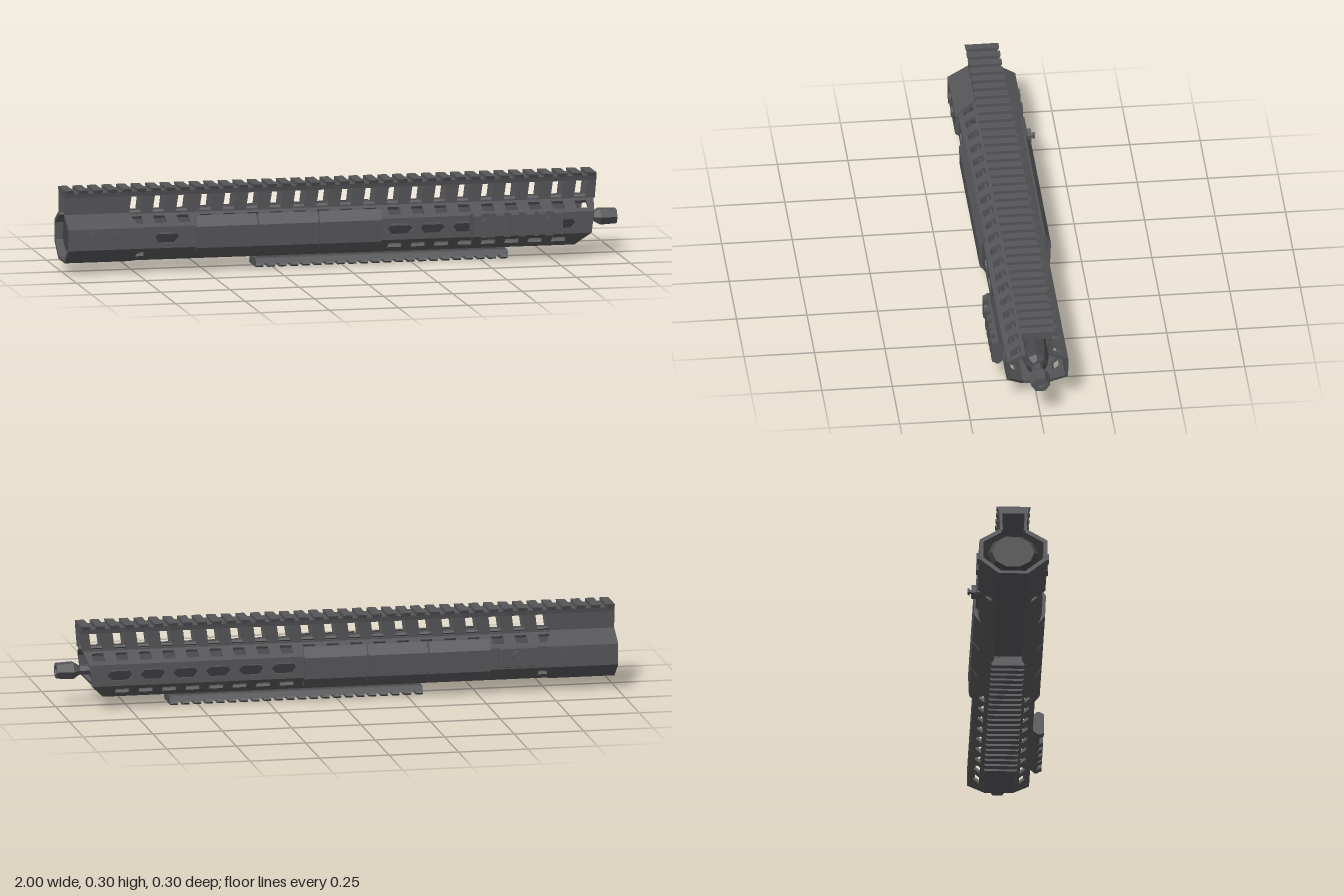
import * as THREE from 'three';

const metal = new THREE.MeshStandardMaterial({ color: 0x555558, flatShading: true });
metal.name = 'gunmetal grey';
const dark = new THREE.MeshStandardMaterial({ color: 0x47474a, flatShading: true });
dark.name = 'dark grey';

function add(group, name, geometry, material = metal) {
  const mesh = new THREE.Mesh(geometry, material);
  mesh.name = name;
  group.add(mesh);
  return mesh;
}

// Constant cross-section of [z, y] points running from x0 to x1
function prism(points, x0, x1) {
  const shape = new THREE.Shape(points.map(([z, y]) => new THREE.Vector2(-z, y)));
  return new THREE.ExtrudeGeometry(shape, { depth: x1 - x0, bevelEnabled: false })
    .rotateY(Math.PI / 2).translate(x0, 0, 0);
}

// Flat wall between two [z, y] points; holes are polygons of [x, fraction of height]
function panel(a, b, x0, endA, endB, holes = [], t = 0.01) {
  const up = new THREE.Vector3(0, b[1] - a[1], b[0] - a[0]);
  const len = up.length();
  up.normalize();
  const along = new THREE.Vector3(1, 0, 0);
  const out = along.clone().cross(up);
  const poly = (pts) => pts.map(([x, f]) => new THREE.Vector2(x, f * len));
  const shape = new THREE.Shape(poly([[x0, 0], [endA, 0], [endB, 1], [x0, 1]]));
  holes.forEach((h) => shape.holes.push(new THREE.Path(poly(h))));
  const geo = new THREE.ExtrudeGeometry(shape, { depth: t, bevelEnabled: false });
  geo.translate(0, 0, -t);
  const m = new THREE.Matrix4().makeBasis(along, up, out);
  m.setPosition(0, a[1], a[0]);
  return geo.applyMatrix4(m);
}

// Wall on both sides; the far side swaps its corners so it still faces outward
function panelPair(group, name, a, b, x0, endA, endB, holes = [], t = 0.01) {
  add(group, name + 'Left', panel(a, b, x0, endA, endB, holes, t));
  const flipped = holes.map((h) => h.map(([x, f]) => [x, 1 - f]));
  add(group, name + 'Right', panel([-b[0], b[1]], [-a[0], a[1]], x0, endB, endA, flipped, t));
}

const slot = (x, w, lo, hi, lean = 0) =>
  [[x - w / 2, lo], [x + w / 2, lo], [x + w / 2 + lean, hi], [x - w / 2 + lean, hi]];
const longSlot = (x) => [[x - 0.045, 0.5], [x - 0.03, 0.25], [x + 0.025, 0.25],
  [x + 0.045, 0.5], [x + 0.025, 0.75], [x - 0.03, 0.75]];

function bolt(group, name, x, y, z, r, h) {
  const mesh = add(group, name, new THREE.CylinderGeometry(r, r, h, 6).rotateX(Math.PI / 2));
  mesh.position.set(x, y, z);
}

function lathe(group, name, points, sides, squash, material) {
  const geo = new THREE.LatheGeometry(points.map(([r, x]) => new THREE.Vector2(r, x)), sides);
  geo.scale(squash, 1, 1).rotateZ(-Math.PI / 2).translate(0, 0.13, 0);
  return add(group, name, geo, material);
}

export function createModel() {
  const model = new THREE.Group();
  model.name = 'railedHandguard';

  // Handguard shell: faceted walls with vent slots
  const shell = new THREE.Group();
  shell.name = 'shell';
  model.add(shell);
  const windows = [], upper = [], lower = [];
  for (let i = 0; i < 20; i++) {
    const x = -0.745 + i * 0.0845;
    windows.push(slot(x, 0.042, 0.06, 0.9, 0.008));
    upper.push(slot(x, 0.042, 0.28, 0.82));
    if (i === 0 || i > 9) if (x < 0.83) lower.push(slot(x, 0.05, 0.35, 0.7));
  }
  const sideSlots = [-0.64];
  for (let i = 0; i < 6; i++) sideSlots.push(0.2 + i * 0.118);
  const b0 = [0.05, 0.04], b1 = [0.109, 0.09], b2 = [0.109, 0.167], b3 = [0.045, 0.205], b4 = [0.049, 0.275];
  add(shell, 'shellBottom', panel([-0.05, 0.04], b0, -0.77, 0.84, 0.84));
  panelPair(shell, 'lowerSlope', b0, b1, -0.77, 0.84, 0.89, lower);
  panelPair(shell, 'side', b1, b2, -0.77, 0.89, 0.9, sideSlots.map(longSlot));
  panelPair(shell, 'upperSlope', b2, b3, -0.77, 0.9, 0.91, upper);
  panelPair(shell, 'railWall', b3, b4, -0.77, 0.915, 0.92, windows);

  // Solid rear collar, a little wider than the shell
  const collar = new THREE.Group();
  collar.name = 'rearCollar';
  model.add(collar);
  const c1 = [0.12, 0.092], c2 = [0.12, 0.167];
  add(collar, 'collarBottom', panel([-0.052, 0.038], [0.052, 0.038], -1, -0.76, -0.76));
  panelPair(collar, 'collarLower', [0.052, 0.038], c1, -1, -0.76, -0.74, [], 0.014);
  panelPair(collar, 'collarSide', c1, c2, -1, -0.74, -0.74, [], 0.014);
  panelPair(collar, 'collarUpper', c2, [0.047, 0.21], -1, -0.74, -0.77, [], 0.014);
  panelPair(collar, 'collarWall', [0.047, 0.205], [0.05, 0.275], -1, -0.77, -0.77);
  for (const s of [-1, 1])
    for (const x of [-0.91, -0.82]) bolt(collar, 'collarScrew', x, 0.135, s * 0.121, 0.022, 0.012);

  // Top rail with cross teeth
  const topRail = new THREE.Group();
  topRail.name = 'topRail';
  model.add(topRail);
  add(topRail, 'railBed', prism([[-0.05, 0.27], [0.05, 0.27], [0.054, 0.286], [-0.054, 0.286]], -1, 0.92));
  for (let i = 0; i < 37; i++) {
    const x = -1 + i * 0.0524;
    add(topRail, 'railTooth', prism([[-0.054, 0.284], [0.054, 0.284], [0.06, 0.297], [-0.06, 0.297]],
      x, x + 0.032));
  }

  // Bottom rail with cross teeth
  const bottomRail = new THREE.Group();
  bottomRail.name = 'bottomRail';
  model.add(bottomRail);
  add(bottomRail, 'railNeck', prism([[-0.025, 0.02], [0.025, 0.02], [0.025, 0.035], [0.05, 0.035],
    [0.05, 0.042], [-0.05, 0.042], [-0.05, 0.035], [-0.025, 0.035]], -0.3, 0.59));
  add(bottomRail, 'railBed', prism([[-0.055, 0.012], [0.055, 0.012], [0.047, 0.03], [-0.047, 0.03]], -0.31, 0.6));
  for (let i = 0; i < 22; i++) {
    const x = -0.31 + i * 0.042;
    add(bottomRail, 'railTooth', prism([[-0.054, 0], [0.054, 0], [0.06, 0.006], [0.054, 0.014],
      [-0.054, 0.014], [-0.06, 0.006]], x, x + 0.026));
  }

  // Side grip covers, three segments each side
  for (const s of [-1, 1]) {
    const covers = new THREE.Group();
    covers.name = s > 0 ? 'leftCovers' : 'rightCovers';
    model.add(covers);
    const section = [[0.101, 0.057], [0.125, 0.088], [0.128, 0.165], [0.108, 0.202], [0.101, 0.202],
      [0.116, 0.165], [0.114, 0.095]].map(([z, y]) => [s * z, y]);
    for (const [x0, x1] of [[-0.54, -0.32], [-0.315, -0.1], [-0.095, 0.13]])
      add(covers, 'gripCover', prism(section, x0, x1));
  }

  // Short accessory rail on the left side
  const sideRail = new THREE.Group();
  sideRail.name = 'sideRail';
  model.add(sideRail);
  add(sideRail, 'railBed', prism([[0.108, 0.105], [0.125, 0.09], [0.135, 0.09], [0.135, 0.176],
    [0.125, 0.176], [0.108, 0.16]], 0.45, 0.78));
  for (const [x, w] of [[0.455, 0.03], [0.535, 0.03], [0.59, 0.03], [0.645, 0.03], [0.69, 0.025], [0.745, 0.03]])
    add(sideRail, 'railTooth', prism([[0.13, 0.087], [0.149, 0.096], [0.149, 0.17], [0.13, 0.179]], x, x + w));
  for (const x of [0.505, 0.73]) bolt(sideRail, 'railBolt', x, 0.135, 0.14, 0.027, 0.02);

  // Sling stud on the right side
  const stud = new THREE.Group();
  stud.name = 'slingStud';
  model.add(stud);
  add(stud, 'studPlate', prism([[-0.105, 0.095], [-0.122, 0.1], [-0.122, 0.165], [-0.105, 0.17]], -0.71, -0.57));
  bolt(stud, 'studBase', -0.64, 0.131, -0.129, 0.028, 0.018);
  bolt(stud, 'studNeck', -0.64, 0.131, -0.141, 0.008, 0.014);
  bolt(stud, 'studHead', -0.64, 0.131, -0.148, 0.013, 0.008);

  // Barrel nut, barrel and muzzle
  lathe(model, 'barrelNut', [[0, -0.98], [0.075, -0.98], [0.09, -0.96], [0.09, -0.84], [0.07, -0.8], [0, -0.8]],
    10, 0.8, dark);
  lathe(model, 'barrel', [[0, -0.82], [0.05, -0.82], [0.05, 0.8], [0.04, 0.86], [0.022, 0.88], [0, 0.88]],
    8, 1, dark);
  lathe(model, 'muzzle', [[0, 0.85], [0.022, 0.85], [0.02, 0.915], [0.038, 0.94], [0.034, 1], [0.018, 1],
    [0.016, 0.985], [0, 0.985]], 6, 0.85, metal);

  return model;
}
